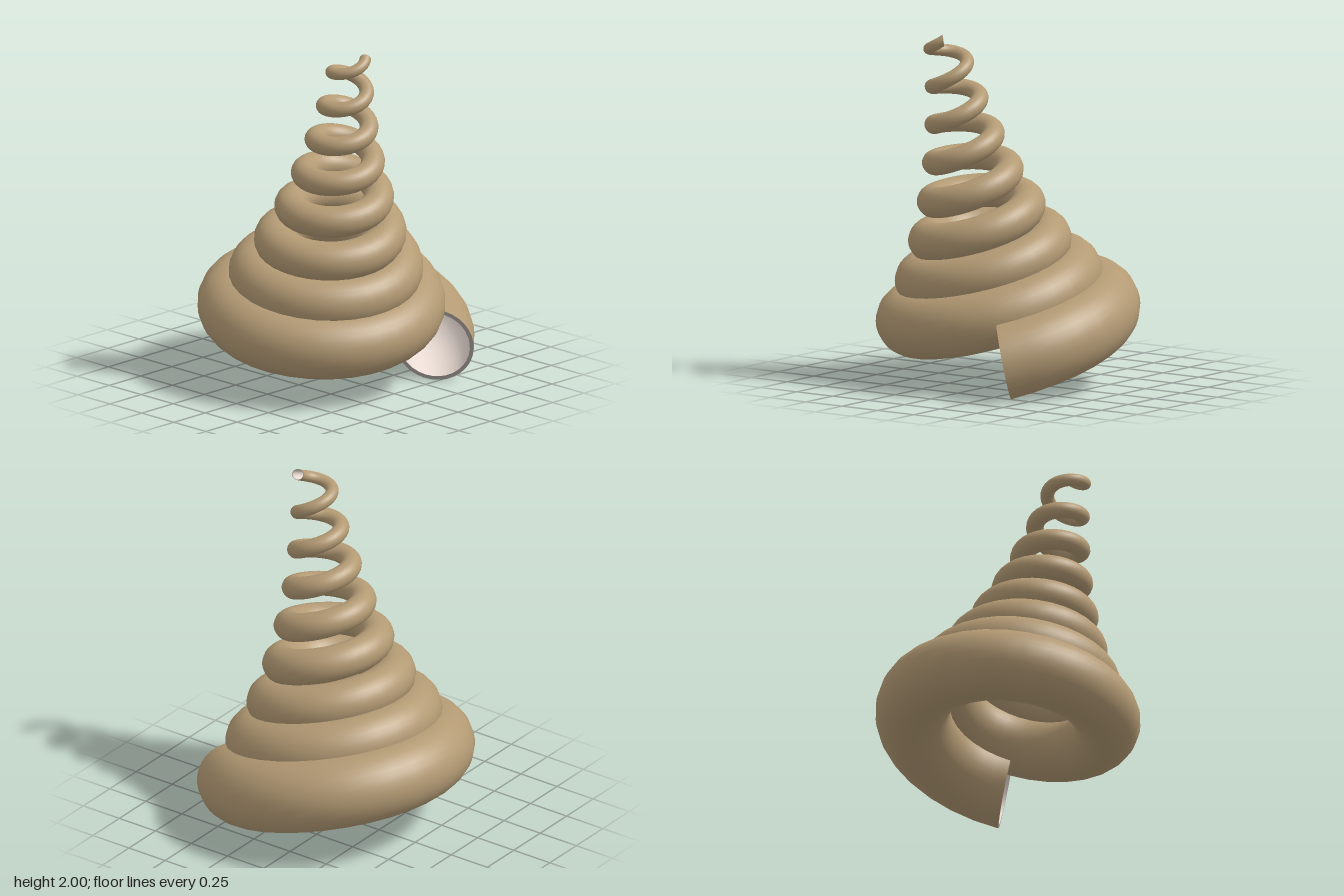
import * as THREE from 'three';

// Spiral measured in turns: 0 is where the last whorl crosses the +x side
const START = -7.1, END = 0.9, STEPS_PER_TURN = 32, SIDES = 32;
const tilt = new THREE.Quaternion().setFromUnitVectors(
  new THREE.Vector3(0, 1, 0), new THREE.Vector3(0.0432, 0.2125, 0.0205).normalize());
const axis = new THREE.Vector3(0, 1, 0).applyQuaternion(tilt);

// One circular cross-section of the coiled tube; scale shrinks it for the inner wall
function ring(turn, scale) {
  const phi = turn * Math.PI * 2;
  const radial = new THREE.Vector3(Math.cos(phi), 0, Math.sin(phi)).applyQuaternion(tilt);
  const orbit = 0.49 * Math.pow(1.28, turn);
  const r = 0.179 * Math.pow(1.272, turn) * scale;
  const centre = new THREE.Vector3(0.0513 - 0.0432 * turn, 0.47 - 0.2125 * turn, 0.06 - 0.0205 * turn)
    .addScaledVector(radial, orbit);
  return Array.from({ length: SIDES }, (_, j) => {
    const a = j / SIDES * Math.PI * 2;
    return centre.clone().addScaledVector(radial, r * Math.cos(a)).addScaledVector(axis, r * Math.sin(a));
  });
}

// Skin between consecutive closed rings
function loft(name, color, rings) {
  const index = [];
  for (let i = 0; i < rings.length - 1; i++) {
    for (let j = 0; j < SIDES; j++) {
      const a = i * SIDES + j, b = i * SIDES + (j + 1) % SIDES;
      index.push(a, b, a + SIDES, b, b + SIDES, a + SIDES);
    }
  }
  const geometry = new THREE.BufferGeometry().setFromPoints(rings.flat());
  geometry.setIndex(index);
  geometry.computeVertexNormals();
  const mesh = new THREE.Mesh(geometry, new THREE.MeshStandardMaterial({ color }));
  mesh.name = name;
  return mesh;
}

export function createModel() {
  const group = new THREE.Group();
  group.name = 'spiralShell';
  const WALL = 0.9;
  const count = Math.round((END - START) * STEPS_PER_TURN);
  const turns = Array.from({ length: count + 1 }, (_, i) => START + (END - START) * i / count);

  // Outer whorls and the pale lining, wound the other way to face inward
  group.add(loft('outerWhorls', 0xb39a74, turns.map(t => ring(t, 1))));
  group.add(loft('innerLining', 0xe8dad2, turns.map(t => ring(t, WALL)).reverse()));

  // Flat lips joining the two walls at the mouth and at the tip
  group.add(loft('mouthLip', 0xa59c98, [ring(END, 1), ring(END, WALL)]));
  group.add(loft('tipLip', 0xa59c98, [ring(START, WALL), ring(START, 1)]));
  return group;
}
